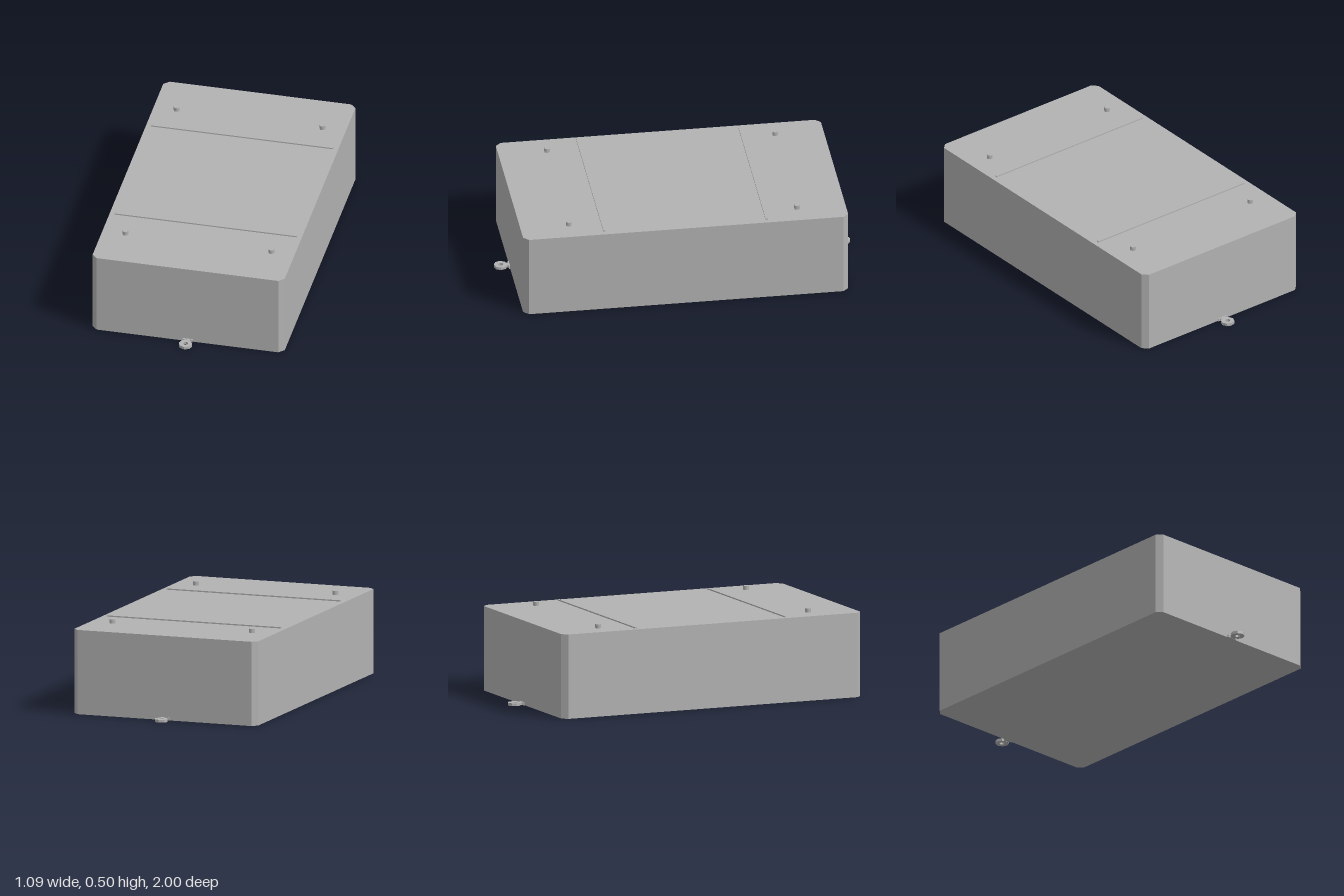
import * as THREE from 'three';

export function createModel() {
  const model = new THREE.Group();
  const grey = new THREE.MeshStandardMaterial({ color: 0xb2b2b2 });
  grey.name = 'plain grey';
  const add = (name, geometry, x, y, z) => {
    const mesh = new THREE.Mesh(geometry, grey);
    mesh.name = name;
    mesh.position.set(x, y, z);
    model.add(mesh);
    return mesh;
  };
  // Extrude a plan shape upward, with its drawn +y facing +z
  const slab = (shape, height, curveSegments = 2) =>
    new THREE.ExtrudeGeometry(shape, { depth: height, bevelEnabled: false, curveSegments })
      .rotateX(-Math.PI / 2).rotateY(Math.PI);

  // Box body with chamfered vertical corners
  const w = 0.547, d = 0.912, c = 0.03, bodyHeight = 0.475;
  const plan = new THREE.Shape([
    [w - c, -d], [w, -d + c], [w, d - c], [w - c, d],
    [-w + c, d], [-w, d - c], [-w, -d + c], [-w + c, -d],
  ].map(([x, y]) => new THREE.Vector2(x, y)));
  add('body', slab(plan, bodyHeight), 0, 0, 0);

  // Octagonal eyelet with a hole
  const octagon = (r) => Array.from({ length: 8 }, (_, i) =>
    new THREE.Vector2(r * Math.cos(i * Math.PI / 4), r * Math.sin(i * Math.PI / 4)));
  const ring = new THREE.Shape(octagon(0.038));
  ring.holes.push(new THREE.Path(octagon(0.015).reverse()));
  const ringGeometry = slab(ring, 0.016);

  for (const side of [1, -1]) {
    const end = side > 0 ? 'front' : 'back';
    // Raised rib across the lid
    add(end + 'Rib', new THREE.BoxGeometry(1.034, 0.008, 0.012), 0, bodyHeight + 0.003, side * 0.455);
    // Hexagonal studs
    for (const x of [-0.415, 0.415]) {
      add(end + (x > 0 ? 'LeftStud' : 'RightStud'),
        new THREE.CylinderGeometry(0.017, 0.017, 0.024, 6).rotateY(Math.PI / 6),
        x, bodyHeight + 0.011, side * 0.64);
    }
    // Mounting eyelet, its neck and its foot on the wall
    add(end + 'Eyelet', ringGeometry, 0, 0, side * 0.962);
    add(end + 'EyeletNeck', new THREE.BoxGeometry(0.03, 0.014, 0.024), 0, 0.008, side * 0.921);
    add(end + 'EyeletFoot', new THREE.BoxGeometry(0.06, 0.016, 0.01), 0, 0.008, side * 0.914);
  }
  return model;
}
